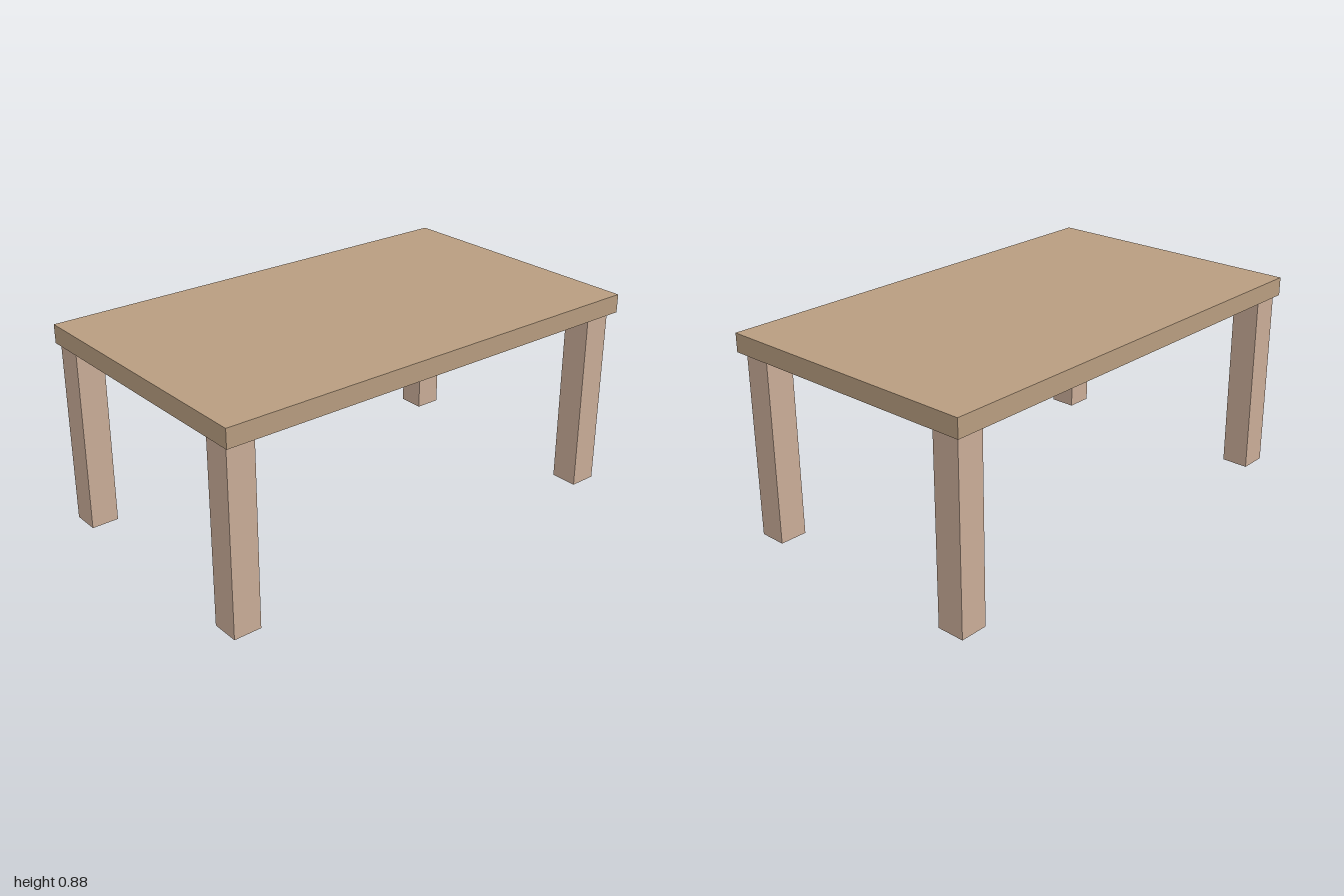
import * as THREE from 'three';

export function createModel() {
  const table = new THREE.Group();
  table.name = 'table';
  const topMaterial = new THREE.MeshStandardMaterial({ color: 0xb89d80 });
  const legMaterial = new THREE.MeshStandardMaterial({ color: 0xcaad98 });

  // Box placed by its centre in plan and its bottom and top heights
  function addBox(name, material, width, depth, x, z, bottom, top) {
    const mesh = new THREE.Mesh(new THREE.BoxGeometry(width, top - bottom, depth), material);
    mesh.name = name;
    mesh.position.set(x, (bottom + top) / 2, z);
    table.add(mesh);
  }

  // Flat slab top
  addBox('tableTop', topMaterial, 2, 1.2, 0, 0, 0.8, 0.88);

  // Four square legs, set slightly unevenly: name, x, z, bottom, top
  const legs = [
    ['frontLeftLeg', 0.92, 0.505, 0, 0.798],
    ['frontRightLeg', -0.926, 0.515, 0.008, 0.802],
    ['backLeftLeg', 0.929, -0.528, 0.003, 0.802],
    ['backRightLeg', -0.928, -0.517, 0.003, 0.802],
  ];
  for (const [name, x, z, bottom, top] of legs) {
    addBox(name, legMaterial, 0.12, 0.12, x, z, bottom, top);
  }
  return table;
}
